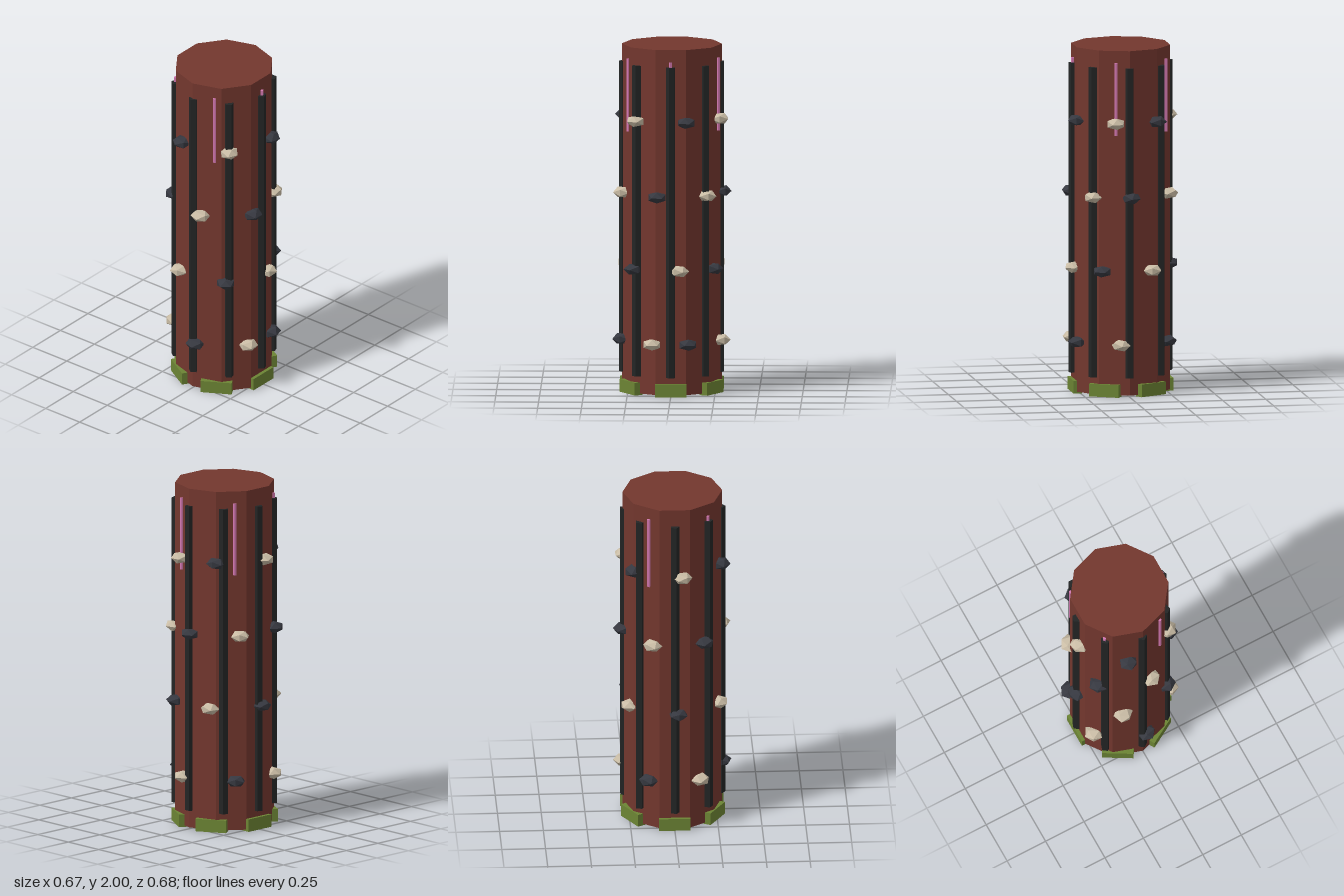
import * as THREE from 'three';

const mat = (name, color) => {
  const m = new THREE.MeshStandardMaterial({ color, flatShading: true });
  m.name = name;
  return m;
};

export function createModel() {
  const model = new THREE.Group();
  model.name = 'column';
  const brown = mat('red brown', 0x73372e);
  const black = mat('charcoal', 0x232525);
  const green = mat('moss green', 0x6c8434);
  const pink = mat('pink', 0xd277b0);
  const slate = mat('dark slate', 0x363840);
  const cream = mat('cream', 0xc9bca5);

  // angle in degrees, from +x towards +z
  const add = (name, geometry, material, angle, radius, y) => {
    const mesh = new THREE.Mesh(geometry, material);
    const a = THREE.MathUtils.degToRad(angle);
    mesh.name = name;
    mesh.position.set(Math.cos(a) * radius, y, Math.sin(a) * radius);
    model.add(mesh);
    return mesh;
  };

  // ten-sided shaft
  add('shaft', new THREE.CylinderGeometry(0.285, 0.285, 1.99, 10), brown, 0, 0, 1.005);

  // upright ribs
  const ribGeo = new THREE.CylinderGeometry(0.028, 0.028, 1.79, 5);
  for (let i = 0; i < 8; i++) add('rib', ribGeo, black, i * 45, 0.275, 1.005);

  // blocks round the foot
  const blockGeo = new THREE.BoxGeometry(0.05, 0.073, 0.18);
  for (let i = 0; i < 6; i++) {
    const block = add('footBlock', blockGeo, green, i * 60, 0.266, 0.037);
    block.rotation.y = -i * Math.PI / 3;
  }

  // thin rods near the top
  const rodGeo = new THREE.CylinderGeometry(0.01, 0.01, 0.42, 5);
  for (const angle of [0, 62, 136, 212, 286]) add('rod', rodGeo, pink, angle, 0.278, 1.72);

  // four rings of flattened stones in alternating colours
  const stoneGeo = new THREE.IcosahedronGeometry(0.057, 0).scale(1, 0.62, 1);
  const rings = [
    { y: 0.3, angles: [22, 86, 149, 211, 280, 340] },
    { y: 0.725, angles: [350, 49, 114, 176, 241, 302] },
    { y: 1.15, angles: [314, 16, 79, 143, 206, 268] },
    { y: 1.58, angles: [45, 108, 171, 234, 286, 342] },
  ];
  rings.forEach(({ y, angles }, r) => angles.forEach((angle, i) => {
    const stone = add('stone', stoneGeo, i % 2 ? slate : cream, angle, 0.285, y);
    stone.rotation.y = r * 0.9 + i * 1.3;
  }));

  return model;
}
